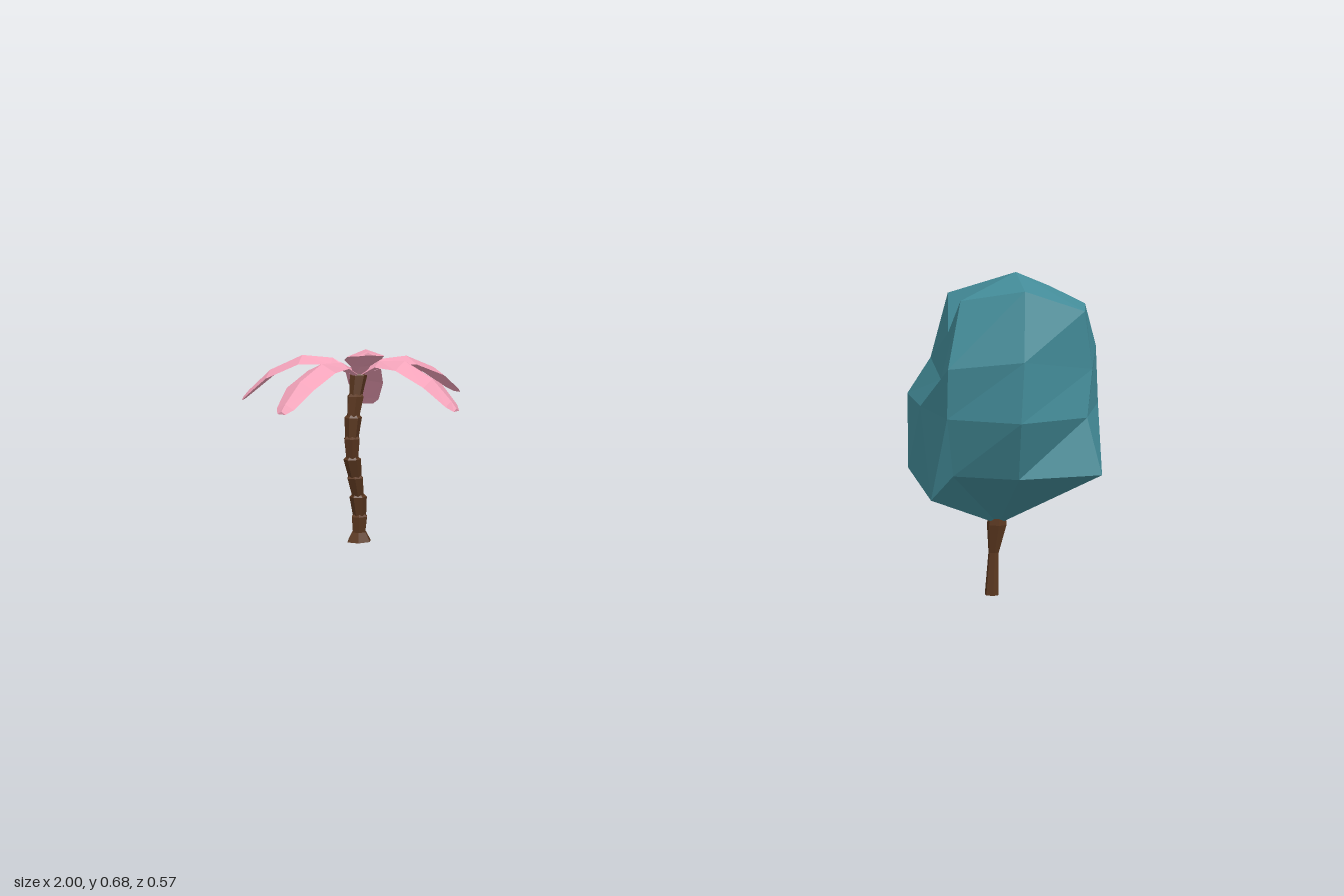
import * as THREE from 'three';

const mat = (color) => new THREE.MeshStandardMaterial({ color, flatShading: true });
const bark = mat(0x5c3820);
const pink = mat(0xf2a2b9);
const teal = mat(0x458f9c);

// Closed skin over a stack of equal-sized rings of [x, y, z], capped at both ends
function loft(name, rings, material, bottom, top) {
  const n = rings[0].length;
  const centre = (r) => [0, 1, 2].map((k) => r.reduce((s, p) => s + p[k], 0) / n);
  const lo = bottom || centre(rings[0]);
  const hi = top || centre(rings[rings.length - 1]);
  const pos = [];
  const tri = (...pts) => pts.forEach((p) => pos.push(...p));
  for (let j = 0; j < n; j++) {
    const k = (j + 1) % n;
    tri(lo, rings[0][j], rings[0][k]);
    for (let i = 0; i < rings.length - 1; i++) {
      const a = rings[i], b = rings[i + 1];
      tri(a[j], b[j], a[k]);
      tri(a[k], b[j], b[k]);
    }
    const last = rings[rings.length - 1];
    tri(hi, last[k], last[j]);
  }
  const g = new THREE.BufferGeometry();
  g.setAttribute('position', new THREE.Float32BufferAttribute(pos, 3));
  g.computeVertexNormals();
  const mesh = new THREE.Mesh(g, material);
  mesh.name = name;
  return mesh;
}

// Horizontal polygon ring
function ring(x, y, z, r, sides = 6, turn = 0) {
  return Array.from({ length: sides }, (_, i) => {
    const a = turn + (i / sides) * Math.PI * 2;
    return [x + r * Math.cos(a), y, z + r * Math.sin(a)];
  });
}

// Arched palm leaf with a diamond cross-section
function leaf(tip, ctrlY) {
  const start = new THREE.Vector3(-0.745, 0.392, 0.035);
  const end = new THREE.Vector3(...tip);
  const ctrl = start.clone().lerp(end, 0.5).setY(ctrlY);
  const curve = new THREE.QuadraticBezierCurve3(start, ctrl, end);
  const d = end.clone().sub(start).setY(0).normalize();
  const stations = [[0, 0.01], [0.22, 0.022], [0.48, 0.042], [0.76, 0.041], [0.95, 0.026], [1, 0.012]];
  const rings = stations.map(([t, w]) => {
    const p = curve.getPoint(t);
    const h = 0.008 * (1 - 0.6 * t);
    const edge = (s) => [p.x + d.z * w * s, p.y - w * 0.28, p.z - d.x * w * s];
    return [[p.x, p.y + h, p.z], edge(1), [p.x, p.y - h, p.z], edge(-1)];
  });
  return loft('palmLeaf', rings, pink);
}

function palmTree() {
  const tree = new THREE.Group();
  tree.name = 'palmTree';

  // Flared foot
  tree.add(loft('palmFoot', [ring(-0.77, 0, 0.008, 0.03), ring(-0.77, 0.022, 0.008, 0.018)], bark));

  // Curved trunk of stacked segments, each wider at its upper rim
  const path = new THREE.CatmullRomCurve3([
    [-0.77, 0.01, 0.008], [-0.766, 0.07, 0.01], [-0.762, 0.13, 0.025],
    [-0.757, 0.2, 0.05], [-0.75, 0.29, 0.055], [-0.743, 0.395, 0.038],
  ].map((p) => new THREE.Vector3(...p)));
  const count = 8;
  for (let i = 0; i < count; i++) {
    const a = path.getPointAt(i / count);
    const b = path.getPointAt((i + 1) / count);
    const turn = i * 0.5;
    tree.add(loft('trunkSegment', [
      ring(a.x, a.y, a.z, 0.015, 6, turn),
      ring(b.x, b.y, b.z, 0.02, 6, turn),
      ring(b.x, b.y + 0.006, b.z, 0.014, 6, turn),
    ], bark));
  }

  // Leaves: tip position and arch height
  [
    [[-0.49, 0.328, 0.03], 0.49],
    [[-0.615, 0.465, 0.195], 0.48],
    [[-0.787, 0.335, 0.283], 0.485],
    [[-1.0, 0.337, 0.128], 0.5],
    [[-0.872, 0.295, -0.2], 0.46],
    [[-0.637, 0.335, -0.222], 0.48],
  ].forEach(([tip, c]) => tree.add(leaf(tip, c)));
  return tree;
}

function roundTree() {
  const tree = new THREE.Group();
  tree.name = 'roundTree';

  // Waisted trunk
  tree.add(loft('roundTreeTrunk', [
    ring(0.73, 0, -0.077, 0.015), ring(0.732, 0.09, -0.077, 0.011),
    ring(0.738, 0.15, -0.075, 0.021), ring(0.74, 0.2, -0.075, 0.015),
  ], bark));

  // Faceted crown: four uneven rings, from right round the front to the back
  const rings = [
    [[0.995, 0.295, 0.08], [0.84, 0.28, 0.12], [0.71, 0.28, 0.135], [0.66, 0.225, 0.12],
      [0.535, 0.25, -0.1], [0.62, 0.22, -0.23], [0.82, 0.21, -0.235], [0.91, 0.33, -0.175]],
    [[0.96, 0.405, 0.07], [0.86, 0.4, 0.18], [0.71, 0.4, 0.18], [0.6, 0.4, 0.02],
      [0.508, 0.4, -0.165], [0.62, 0.4, -0.25], [0.84, 0.39, -0.285], [0.92, 0.405, -0.165]],
    [[0.965, 0.5, 0.06], [0.865, 0.52, 0.185], [0.715, 0.5, 0.195], [0.65, 0.46, 0.04],
      [0.56, 0.48, -0.16], [0.62, 0.5, -0.255], [0.83, 0.54, -0.225], [0.91, 0.52, -0.175]],
    [[0.955, 0.615, 0.09], [0.855, 0.655, 0.16], [0.72, 0.63, 0.14], [0.66, 0.555, 0.03],
      [0.602, 0.62, -0.14], [0.66, 0.635, -0.19], [0.81, 0.64, -0.17], [0.91, 0.615, -0.08]],
  ];
  tree.add(loft('roundTreeCrown', rings, teal, [0.74, 0.15, -0.08], [0.78, 0.677, -0.03]));
  return tree;
}

export function createModel() {
  const model = new THREE.Group();
  model.name = 'twoTrees';
  model.add(palmTree(), roundTree());
  return model;
}
